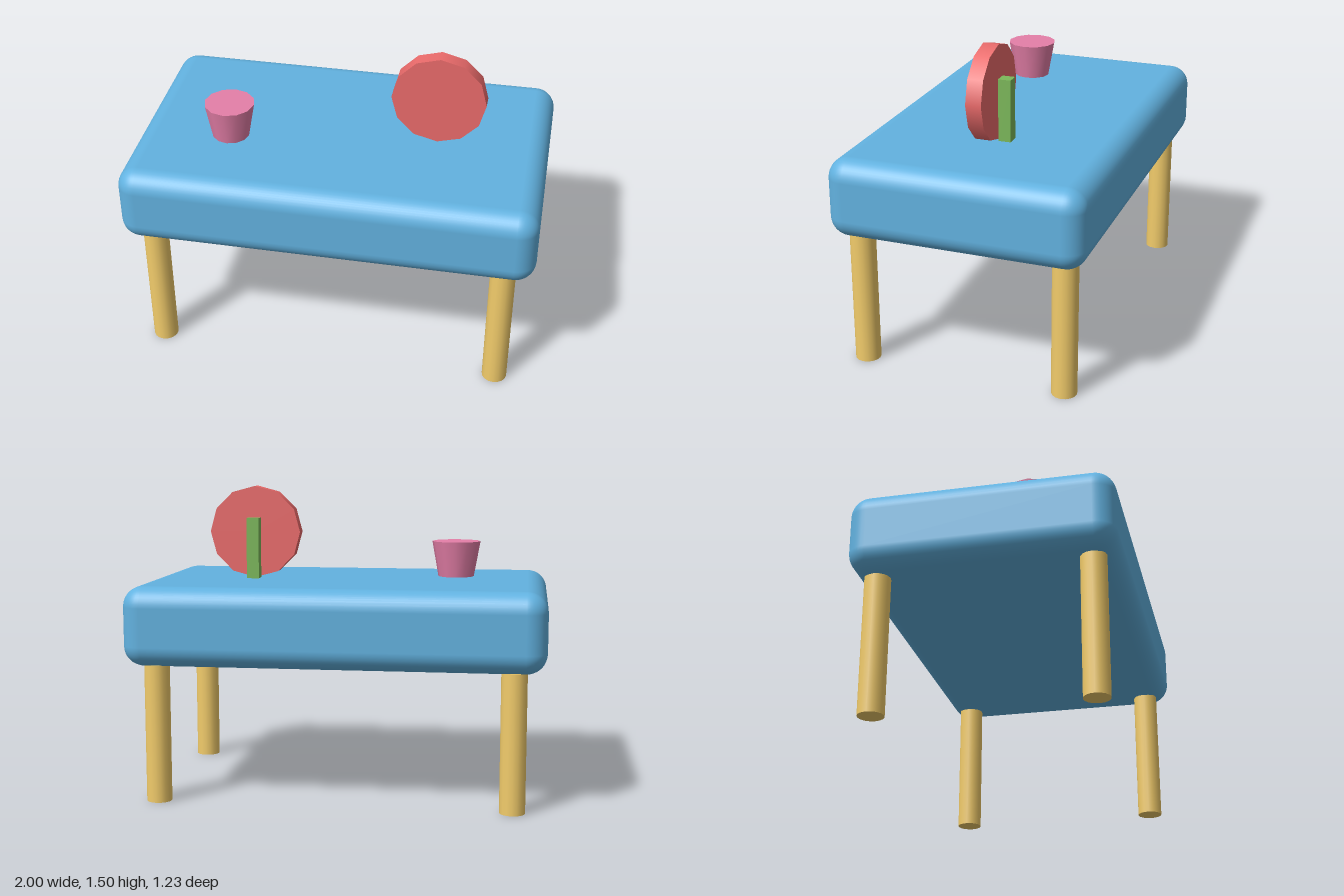
import * as THREE from 'three';
import { RoundedBoxGeometry } from 'three/addons/geometries/RoundedBoxGeometry.js';

const TOP = 1.047; // height of the table surface
const UNDERSIDE = 0.665;

export function createModel() {
  const model = new THREE.Group();
  model.name = 'table';

  const add = (name, geometry, color, x, y, z) => {
    const mesh = new THREE.Mesh(geometry, new THREE.MeshStandardMaterial({ color }));
    mesh.name = name;
    mesh.position.set(x, y, z);
    model.add(mesh);
    return mesh;
  };

  // Thick, softly rounded slab
  const slabHeight = TOP - UNDERSIDE;
  add('tabletop', new RoundedBoxGeometry(2, slabHeight, 1.23, 5, 0.098), 0x62b2e0,
    0, UNDERSIDE + slabHeight / 2, 0);

  // Four round legs
  const legGeometry = new THREE.CylinderGeometry(0.061, 0.061, UNDERSIDE + 0.005, 16);
  for (const [sideName, sx] of [['Left', 1], ['Right', -1]]) {
    for (const [endName, sz] of [['front', 1], ['back', -1]]) {
      add(`${endName}${sideName}Leg`, legGeometry, 0xf2cc6b,
        sx * 0.85, (UNDERSIDE + 0.005) / 2, sz * 0.496);
    }
  }

  // Tapered cup
  const cupHeight = 0.178;
  add('cup', new THREE.CylinderGeometry(0.122, 0.09, cupHeight, 12), 0xe57fa8,
    -0.54, TOP + cupHeight / 2, 0.154);

  // Upright disc, standing on one corner of its rim
  const discRadius = 0.2285;
  const disc = add('disc', new THREE.CylinderGeometry(discRadius, discRadius, 0.076, 12), 0xeb6b6b,
    0.46, TOP + discRadius, 0);
  disc.rotation.x = Math.PI / 2;

  // Post behind the disc
  const postHeight = 0.3;
  add('post', new THREE.BoxGeometry(0.061, postHeight, 0.061), 0x7cb85a,
    0.46, TOP + postHeight / 2, -0.075);

  return model;
}
